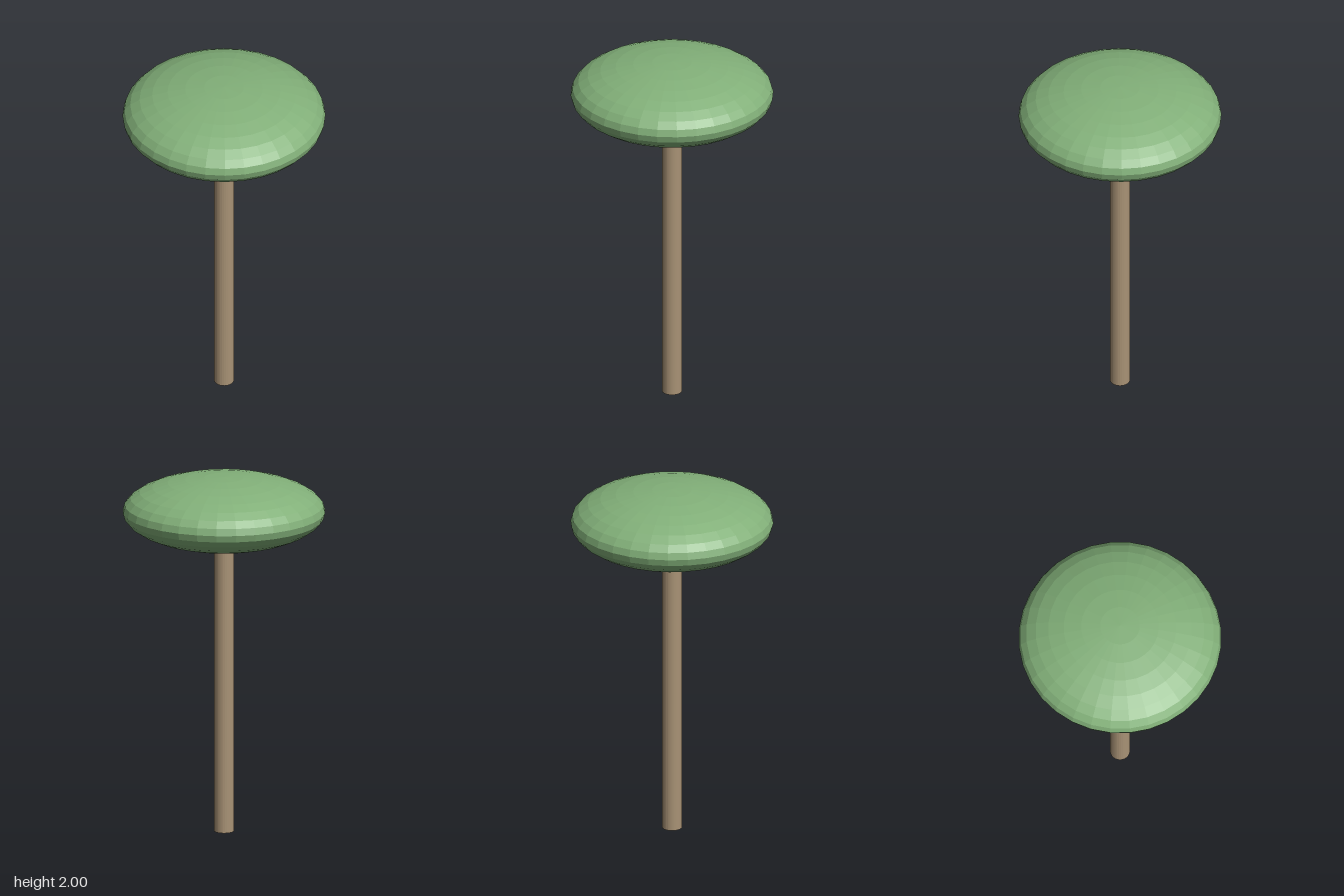
import * as THREE from 'three';

export function createModel() {
  const group = new THREE.Group();
  group.name = 'tree';

  const leaf = new THREE.MeshStandardMaterial({ color: 0x82b079, flatShading: true });
  leaf.name = 'leaf green';
  const bark = new THREE.MeshStandardMaterial({ color: 0xa89275, flatShading: true });
  bark.name = 'bark brown';

  // Straight trunk, reaching into the crown
  const trunkHeight = 1.64;
  const trunk = new THREE.Mesh(new THREE.CylinderGeometry(0.055, 0.055, trunkHeight, 32), bark);
  trunk.name = 'trunk';
  trunk.position.y = trunkHeight / 2;
  group.add(trunk);

  // Flattened, faceted crown
  const crownGeometry = new THREE.SphereGeometry(1, 32, 16);
  crownGeometry.scale(0.556, 0.194, 0.556);
  const crown = new THREE.Mesh(crownGeometry, leaf);
  crown.name = 'crown';
  crown.position.y = 2 - 0.194;
  group.add(crown);

  return group;
}
